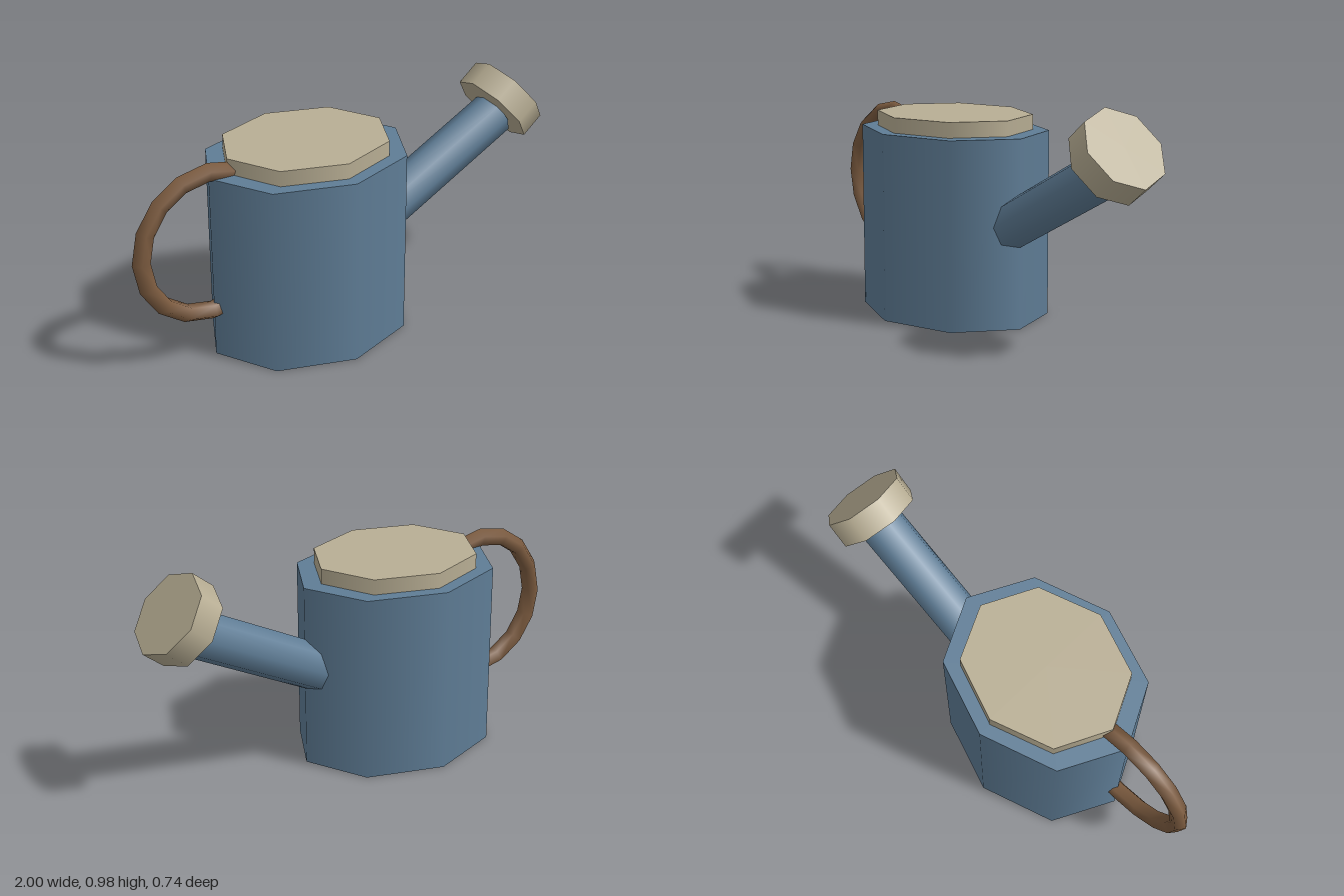
import * as THREE from 'three';

const paint = (color) => new THREE.MeshStandardMaterial({ color });
const blue = paint(0x5f7d96);
const cream = paint(0xb8ae94);
const brown = paint(0x7d5c40);

// Eight-sided drum between two points, with its own half-widths across and in depth
function drum(name, from, to, radius, depth, material) {
  const a = new THREE.Vector2(...from);
  const b = new THREE.Vector2(...to);
  const mesh = new THREE.Mesh(new THREE.CylinderGeometry(1, 1, a.distanceTo(b), 8), material);
  mesh.name = name;
  mesh.scale.set(radius, 1, depth);
  mesh.position.set((a.x + b.x) / 2, (a.y + b.y) / 2, 0);
  mesh.rotation.z = b.clone().sub(a).angle() - Math.PI / 2;
  return mesh;
}

export function createModel() {
  const can = new THREE.Group();
  can.name = 'wateringCan';

  // Oval tank and its lid
  can.add(drum('body', [-0.19, 0], [-0.19, 0.8], 0.455, 0.37, blue));
  can.add(drum('lid', [-0.19, 0.78], [-0.19, 0.865], 0.37, 0.313, cream));

  // Slanted spout with the sprinkler head on its end
  can.add(drum('spout', [0.1, 0.375], [0.804, 0.744], 0.1, 0.1, blue));
  can.add(drum('sprinklerHead', [0.795, 0.765], [0.884, 0.837], 0.183, 0.186, cream));

  // Loop handle, its ends buried in the lid and the tank
  const arc = Math.PI * 1.25;
  const handle = new THREE.Mesh(new THREE.TorusGeometry(0.311, 0.039, 5, 10, arc), brown);
  handle.name = 'handle';
  handle.position.set(-0.65, 0.52, 0);
  handle.rotation.z = Math.PI - arc / 2;
  can.add(handle);

  return can;
}
